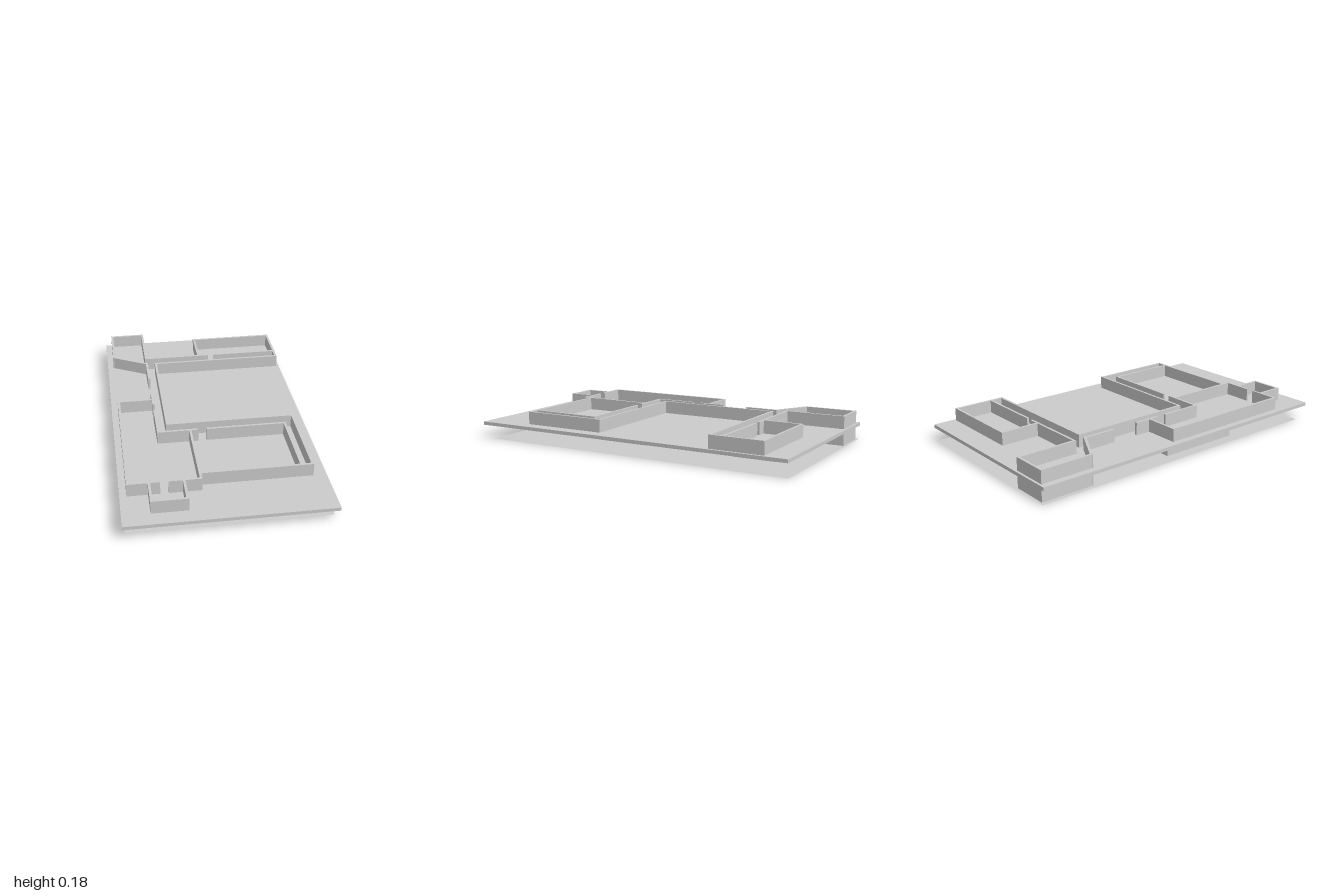
import * as THREE from 'three';

const material = new THREE.MeshStandardMaterial({ color: 0xcccccc, side: THREE.DoubleSide });
const THICK = 0.014;

function mesh(name, geometry, x, y, z) {
  const m = new THREE.Mesh(geometry, material);
  m.name = name;
  m.position.set(x, y, z);
  return m;
}

// A run of upright walls along a list of [x, z] points
function wallRun(name, points, y0, y1) {
  const run = new THREE.Group();
  run.name = name;
  for (let i = 1; i < points.length; i++) {
    const [ax, az] = points[i - 1];
    const [bx, bz] = points[i];
    const length = Math.hypot(bx - ax, bz - az) + THICK;
    const wall = mesh('wall', new THREE.BoxGeometry(length, y1 - y0, THICK),
      (ax + bx) / 2, (y0 + y1) / 2, (az + bz) / 2);
    wall.rotation.y = -Math.atan2(bz - az, bx - ax);
    run.add(wall);
  }
  return run;
}

// One storey of rooms; p holds the dimensions that differ between storeys
function storey(name, p, y0, y1) {
  const hallL = -0.316, hallR = -0.257, divider = -0.131;
  const corridorBack = -0.625, corridorFront = -0.55;
  const runs = {
    // back-left room with its slanted wall, and the hall up to the first opening
    backRoom: [[-0.08, corridorBack], [hallL, corridorBack], [hallL, -0.979], [-0.523, -0.979],
      [-0.523, -0.67], [hallL, -0.555], [hallL, -0.363]],
    corridorWall: [[-0.08, corridorBack], [0.092, corridorBack]],
    // back-right room
    backRightRoom: [[0.142, corridorBack], [p.backRight, corridorBack]],
    backRightShell: [[0.035, corridorBack], [0.035, p.backRightZ], [p.backRight, p.backRightZ],
      [p.backRight, corridorFront], [hallR, corridorFront], [hallR, p.wingBack],
      [p.wingRight, p.wingBack], [p.wingRight, p.wingFront], [divider, p.wingFront]],
    // front-right room
    wingRoomWall: [[-0.03, p.wingInner], [p.wingRight - 0.062, p.wingInner],
      [p.wingRight - 0.062, p.wingFront]],
    // hall and front-left room
    hallWall: [[hallL, 0.032], [hallL, p.wingInner], [-0.092, p.wingInner]],
    divider: [[divider, p.wingInner], [divider, p.leftFront], [-0.298, p.leftFront]],
    leftRoom: [[hallL, -0.187], [hallL, -0.042]],
    leftRoomShell: [[hallL, -0.095], [p.left, -0.095], [p.left, p.leftFront], [-0.357, p.leftFront]],
    // entrance porch
    porch: [[-0.409, p.leftFront], [-0.409, p.porchFront], [-0.222, p.porchFront], [-0.222, p.leftFront]],
  };
  const group = new THREE.Group();
  group.name = name;
  for (const [part, points] of Object.entries(runs)) group.add(wallRun(part, points, y0, y1));
  return group;
}

export function createModel() {
  const model = new THREE.Group();
  model.name = 'floorPlan';

  // Thin ground sheet
  const ground = mesh('groundFloor', new THREE.PlaneGeometry(1.115, 1.93), 0.002, 0, -0.035);
  ground.rotation.x = -Math.PI / 2;
  model.add(ground);

  // Lower walls
  model.add(storey('lowerStorey', {
    backRight: 0.257, backRightZ: -0.797, wingRight: 0.257, wingBack: 0.037, wingInner: 0.11,
    wingFront: 0.351, left: -0.478, leftFront: 0.393, porchFront: 0.551,
  }, 0, 0.08));

  // Slab between the storeys
  model.add(mesh('slab', new THREE.BoxGeometry(1.138, 0.02, 2), 0, 0.09, 0));

  // Upper walls
  model.add(storey('upperStorey', {
    backRight: 0.546, backRightZ: -0.858, wingRight: 0.487, wingBack: 0.194, wingInner: 0.272,
    wingFront: 0.697, left: -0.523, leftFront: 0.745, porchFront: 0.905,
  }, 0.1, 0.176));

  return model;
}
